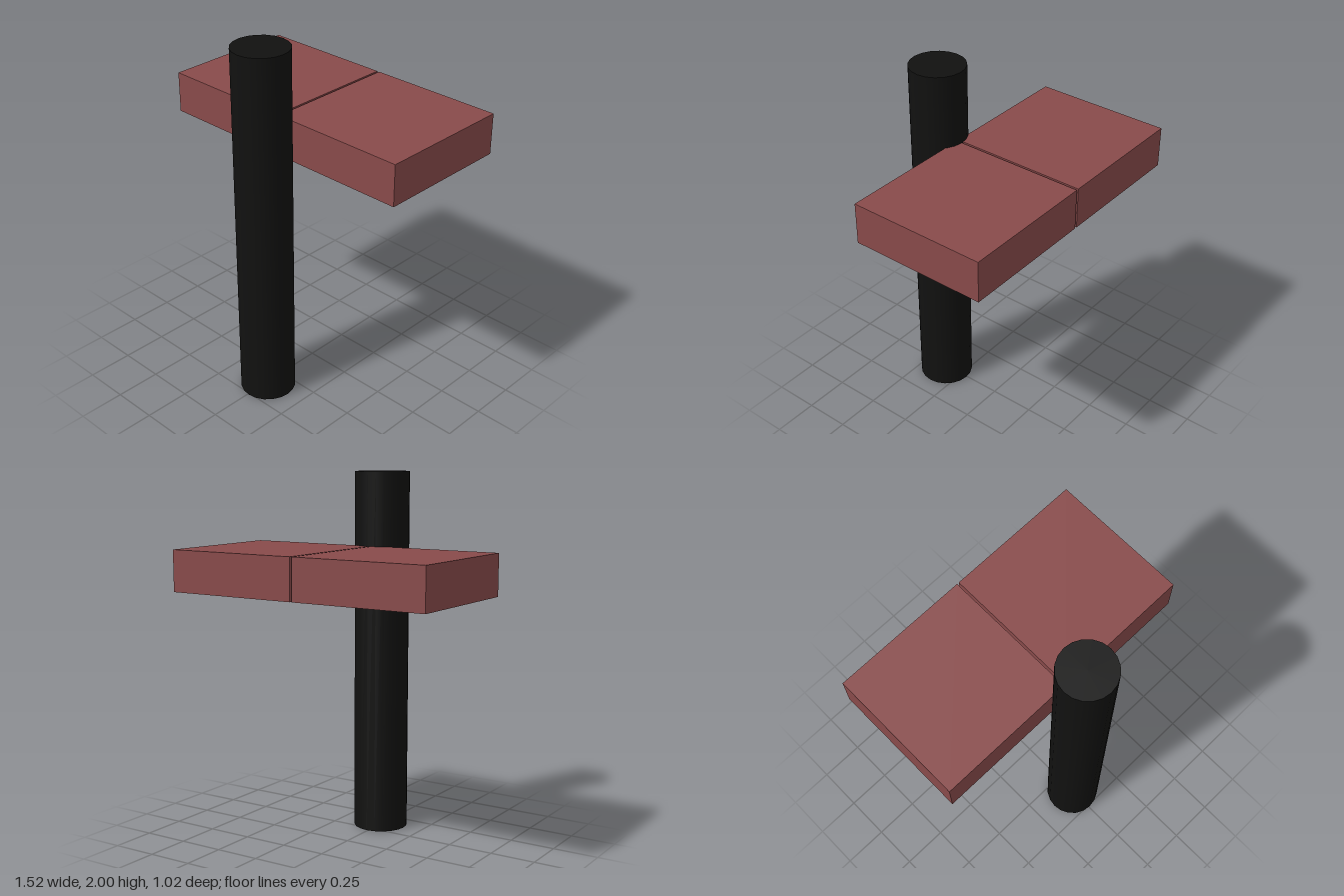
import * as THREE from 'three';

export function createModel() {
  const group = new THREE.Group();
  const red = new THREE.MeshStandardMaterial({ color: 0x884a4a });
  const black = new THREE.MeshStandardMaterial({ color: 0x111110 });

  // Upright round post at the front
  const post = new THREE.Mesh(new THREE.CylinderGeometry(0.15, 0.15, 2, 20), black);
  post.name = 'post';
  post.position.set(0.007, 1, 0.36);
  group.add(post);

  // Two slabs side by side with a narrow gap between them
  const slabGeometry = new THREE.BoxGeometry(0.753, 0.224, 0.753);
  for (const [name, side] of [['leftSlab', 1], ['rightSlab', -1]]) {
    const slab = new THREE.Mesh(slabGeometry, red);
    slab.name = name;
    slab.position.set(-0.001 + side * 0.3825, 1.488, -0.134);
    group.add(slab);
  }
  return group;
}
